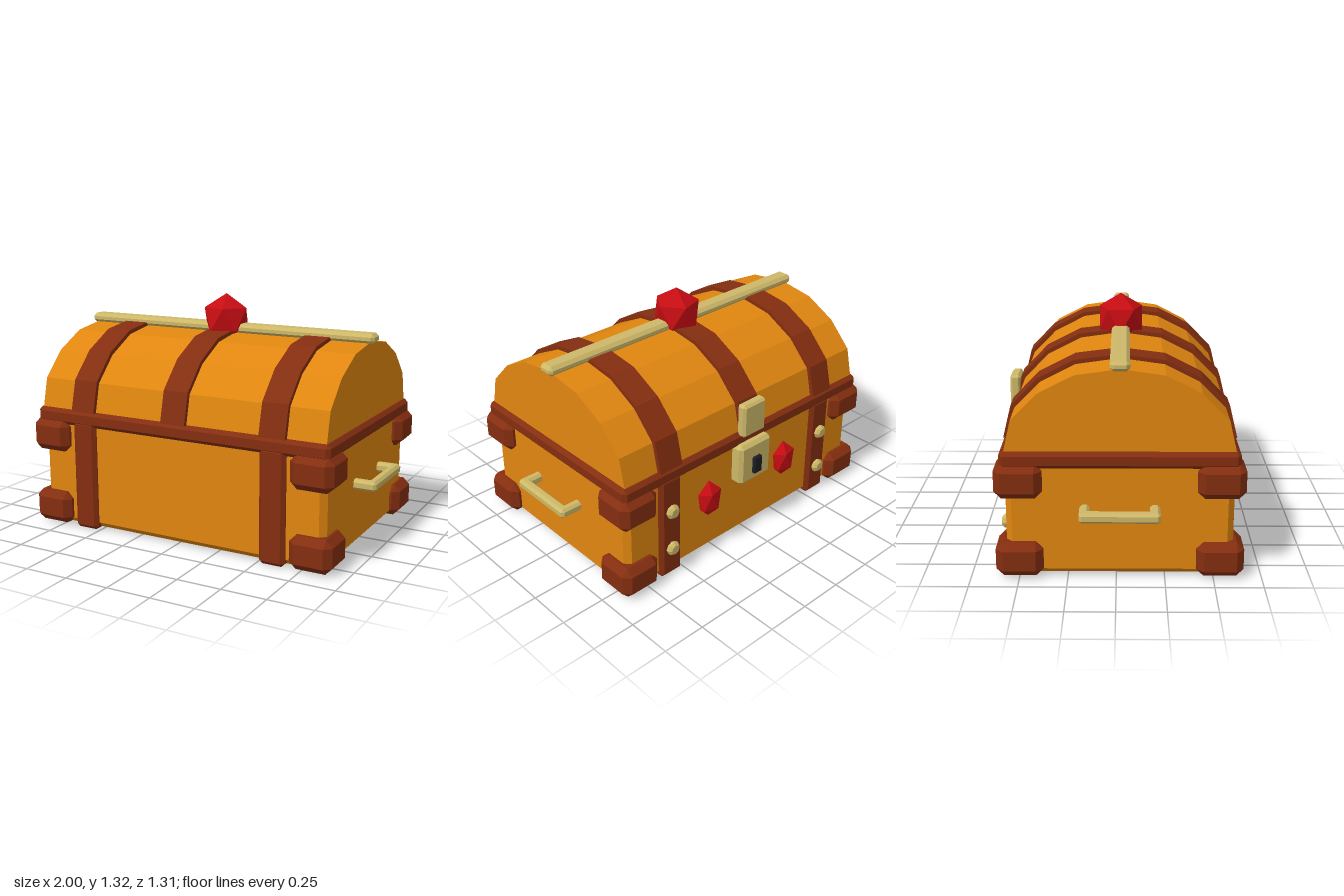
import * as THREE from 'three';
import { ConvexGeometry } from 'three/addons/geometries/ConvexGeometry.js';

const Z0 = 0.018; // depth centre of the chest

function material(name, color) {
  const m = new THREE.MeshStandardMaterial({ color });
  m.name = name;
  return m;
}

// Box with every edge cut at 45 degrees
function chamferBox(w, h, d, c) {
  const pts = [];
  for (const sx of [-1, 1]) for (const sy of [-1, 1]) for (const sz of [-1, 1]) {
    const [x, y, z] = [w / 2, h / 2, d / 2];
    pts.push(
      new THREE.Vector3(sx * x, sy * (y - c), sz * (z - c)),
      new THREE.Vector3(sx * (x - c), sy * y, sz * (z - c)),
      new THREE.Vector3(sx * (x - c), sy * (y - c), sz * z));
  }
  return new ConvexGeometry(pts);
}

// Arched slab of width w running along x; half profile given as [z, y] from the rim up
function archSlab(half, w) {
  const pts = [...half, ...half.slice(0, -1).reverse().map(([z, y]) => [-z, y])];
  const shape = new THREE.Shape(pts.map(([z, y]) => new THREE.Vector2(z, y)));
  const geo = new THREE.ExtrudeGeometry(shape, { depth: w, bevelEnabled: false });
  return geo.translate(0, 0, -w / 2).rotateY(Math.PI / 2);
}

// Icosahedron standing on a vertex, with one upper ring corner towards +x
function gemGeometry(rx, ry, rz) {
  const pts = [new THREE.Vector3(0, ry, 0), new THREE.Vector3(0, -ry, 0)];
  const ring = 2 / Math.sqrt(5), level = 1 / Math.sqrt(5);
  for (let i = 0; i < 10; i++) {
    const a = i * Math.PI / 5;
    pts.push(new THREE.Vector3(rx * ring * Math.cos(a), (i % 2 ? -level : level) * ry, rz * ring * Math.sin(a)));
  }
  return new ConvexGeometry(pts);
}

export function createModel() {
  const root = new THREE.Group();
  root.name = 'treasureChest';

  const wood = material('orange wood', 0xe0860f);
  const brown = material('brown trim', 0x842e10);
  const gold = material('pale gold', 0xcdb868);
  const red = material('red gem', 0xc60d12);
  const black = material('keyhole black', 0x1b1d22);
  for (const m of [wood, brown, gold, red, black]) m.flatShading = true;

  const add = (name, geo, mat, x, y, z) => {
    const mesh = new THREE.Mesh(geo, mat);
    mesh.name = name;
    mesh.position.set(x, y, z);
    root.add(mesh);
    return mesh;
  };

  // Body and rim
  add('body', chamferBox(1.75, 0.63, 1.166, 0.032), wood, 0, 0.325, Z0);
  add('rim', chamferBox(1.8, 0.088, 1.216, 0.02), brown, 0, 0.641, Z0);

  // Arched lid
  const lidProfile = [[0.588, 0.66], [0.545, 0.845], [0.408, 0.985], [0.226, 1.078], [0, 1.11]];
  add('lid', archSlab(lidProfile, 1.75), wood, 0, 0, Z0);

  // Lid straps
  const strapProfile = [[0.608, 0.683], [0.565, 0.857], [0.423, 1.003], [0.234, 1.1], [0, 1.13]];
  for (const x of [-0.585, 0, 0.585]) add('lidStrap', archSlab(strapProfile, 0.148), brown, x, 0, Z0);

  // Ridge bar and crowning gem
  add('ridgeBar', chamferBox(1.81, 0.055, 0.1, 0.018), gold, 0, 1.128, Z0);
  add('topGem', gemGeometry(0.14, 0.14, 0.14), red, 0, 1.18, Z0);

  // Hardware repeated on both sides
  const corner = chamferBox(0.24, 0.184, 0.245, 0.038);
  const bodyStrap = chamferBox(0.15, 0.63, 1.216, 0.02);
  const rivet = new THREE.LatheGeometry(
    [[0.04, -0.02], [0.04, 0.018], [0.026, 0.032], [0, 0.032]].map(p => new THREE.Vector2(...p)), 8);
  rivet.rotateX(-Math.PI / 2);
  const backGem = gemGeometry(0.087, 0.115, 0.064);
  const grip = chamferBox(0.055, 0.055, 0.41, 0.014);
  const gripArm = chamferBox(0.14, 0.055, 0.052, 0.014);

  for (const s of [-1, 1]) {
    add('bodyStrap', bodyStrap, brown, s * 0.585, 0.315, Z0);
    for (const y of [0.103, 0.529]) for (const t of [-1, 1])
      add('cornerGuard', corner, brown, s * 0.807, y, Z0 + t * 0.515);

    // Side handle
    add('handleGrip', grip, gold, s * 0.9725, 0.372, Z0);
    for (const t of [-1, 1]) add('handleArm', gripArm, gold, s * 0.925, 0.372, Z0 + t * 0.179);

    // Rivets and gems on the lock side
    for (const y of [0.18, 0.42]) add('rivet', rivet, gold, s * 0.585, y, -0.588);
    add('backGem', backGem, red, s * 0.295, 0.35, -0.565);
  }

  // Lock
  add('lockPlate', chamferBox(0.24, 0.25, 0.09, 0.02), gold, 0, 0.497, -0.59);
  add('hasp', chamferBox(0.17, 0.2, 0.06, 0.014), gold, 0, 0.758, -0.585);
  add('keyhole', chamferBox(0.06, 0.105, 0.04, 0.006), black, 0, 0.478, -0.635);

  return root;
}
